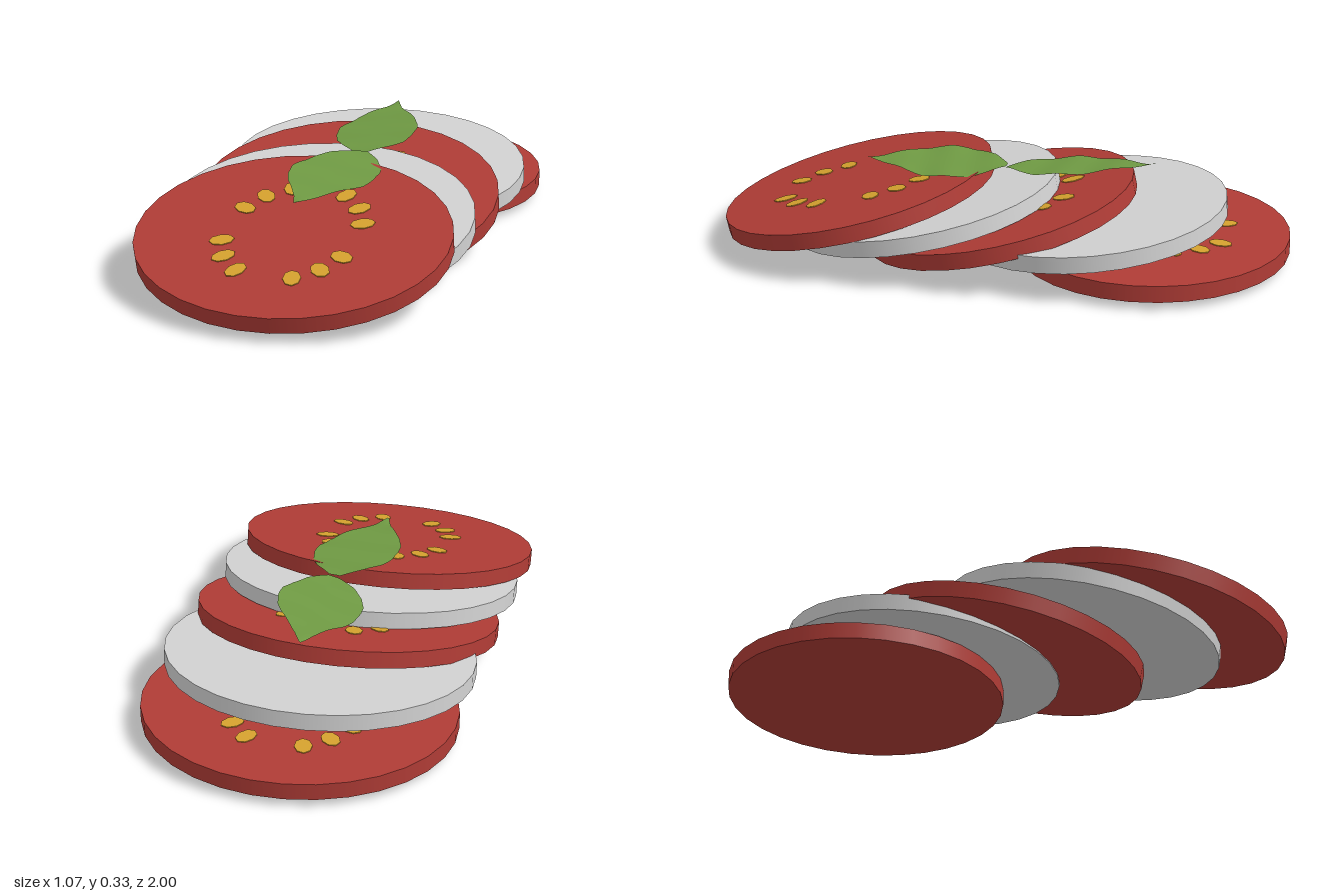
import * as THREE from 'three';

const RX = 0.535, RZ = 0.48, THICK = 0.057;

const mat = (name, color, side = THREE.FrontSide) => {
  const m = new THREE.MeshStandardMaterial({ color, side });
  m.name = name;
  return m;
};

// Slightly oval disc shared by every slice
function makeDisc(name, material) {
  const geo = new THREE.CylinderGeometry(RX, RX, THICK, 32);
  geo.scale(1, 1, RZ / RX);
  const mesh = new THREE.Mesh(geo, material);
  mesh.name = name;
  return mesh;
}

// Twelve flat seeds in four mirrored clusters, pointing outwards
function addSeeds(slice, material) {
  const spots = [[0.21, 0.1], [0.168, 0.185], [0.097, 0.25]];
  const seedGeo = new THREE.CylinderGeometry(1, 1, 0.006, 8);
  seedGeo.scale(0.042, 1, 0.03);
  for (const [x, z] of spots) {
    for (const sx of [-1, 1]) for (const sz of [-1, 1]) {
      const seed = new THREE.Mesh(seedGeo, material);
      seed.name = 'seed';
      seed.position.set(sx * x, THICK / 2, sz * z);
      seed.rotation.y = -Math.atan2(sz * z, sx * x);
      slice.add(seed);
    }
  }
}

// Rippled leaf; dir -1 points to the back, +1 to the front
function makeLeaf(name, material, { dir, rise, roll, baseY }) {
  const widths = [0.02, 0.085, 0.125, 0.144, 0.147, 0.135, 0.108, 0.068, 0.03, 0.003];
  const rows = 27;
  const geo = new THREE.PlaneGeometry(2, 1, 8, rows);
  const pos = geo.attributes.position;
  for (let i = 0; i < pos.count; i++) {
    const t = pos.getY(i) + 0.5;
    const s = -dir * pos.getX(i);
    const f = Math.min(t * 9, 8.999), k = Math.floor(f);
    const w = THREE.MathUtils.lerp(widths[k], widths[k + 1], f - k);
    const x = s * w;
    const ripple = 0.004 * Math.sin(t * 19 + s * 0.6) * (0.5 + 0.5 * s * s);
    pos.setXYZ(i,
      0.04 - 0.045 * t + x,
      baseY + rise * t + roll * x + ripple,
      -0.015 + dir * 0.513 * t);
  }
  geo.computeVertexNormals();
  const leaf = new THREE.Mesh(geo, material);
  leaf.name = name;
  return leaf;
}

export function createModel() {
  const root = new THREE.Group();
  root.name = 'tomatoAndCheeseSlices';

  const red = mat('tomatoRed', 0xb03c36);
  const white = mat('cheeseWhite', 0xd2d2d2);
  const gold = mat('seedGold', 0xd6a22e);
  const green = mat('leafGreen', 0x6f9a43, THREE.DoubleSide);

  // Overlapping slices, back to front
  const slices = [
    ['tomatoSliceBack', red, 0.056, -0.52, 0],
    ['cheeseSliceBack', white, 0.135, -0.302, 0.09],
    ['tomatoSliceMiddle', red, 0.131, 0.013, 0.215],
    ['cheeseSliceFront', white, 0.15, 0.29, 0.172],
    ['tomatoSliceFront', red, 0.162, 0.524, 0.215],
  ];
  for (const [name, material, y, z, tilt] of slices) {
    const slice = makeDisc(name, material);
    slice.position.set(0, y, z);
    slice.rotation.x = tilt;
    if (material === red) addSeeds(slice, gold);
    root.add(slice);
  }

  // Pair of leaves meeting at their stems
  root.add(makeLeaf('leafBack', green, { dir: -1, rise: 0.03, roll: 0.11, baseY: 0.291 }));
  root.add(makeLeaf('leafFront', green, { dir: 1, rise: -0.018, roll: -0.05, baseY: 0.298 }));
  return root;
}
